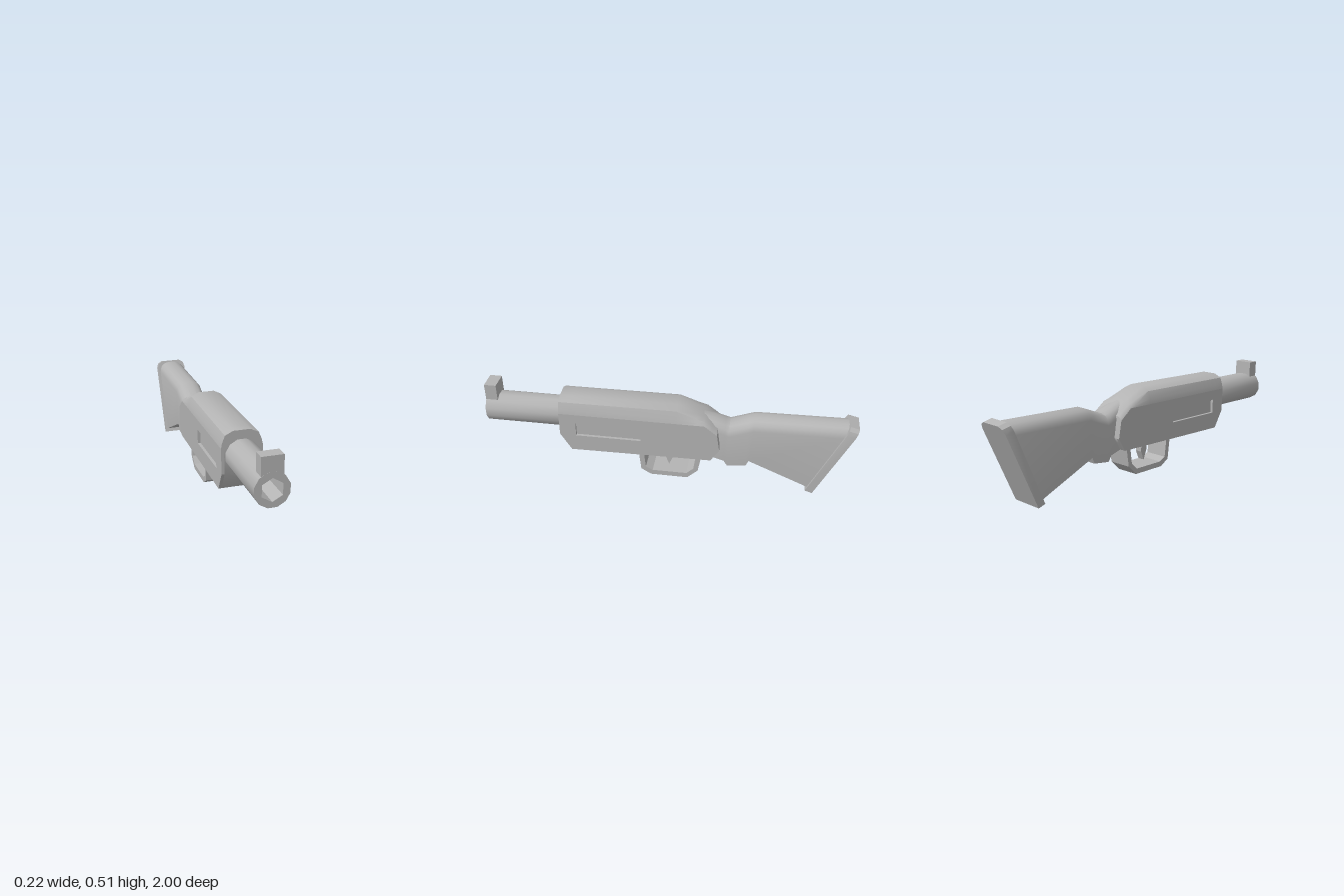
import * as THREE from 'three';
import { toCreasedNormals } from 'three/addons/utils/BufferGeometryUtils.js';

const grey = new THREE.MeshStandardMaterial({ color: 0xb4b4b4 });
grey.name = 'plain grey';

// Skin closed rings (counter-clockwise seen from +z) that run from front to back
function loft(rings, crease = 0.7) {
  const n = rings[0].length;
  const pos = [], idx = [];
  rings.forEach((r) => r.forEach((p) => pos.push(...p)));
  for (let i = 0; i < rings.length - 1; i++) {
    for (let j = 0; j < n; j++) {
      const a = i * n + j, b = i * n + (j + 1) % n;
      idx.push(a, a + n, b + n, a, b + n, b);
    }
  }
  [0, rings.length - 1].forEach((k, end) => {
    const c = pos.length / 3;
    for (let m = 0; m < 3; m++) pos.push(rings[k].reduce((s, p) => s + p[m], 0) / n);
    for (let j = 0; j < n; j++) {
      const a = k * n + j, b = k * n + (j + 1) % n;
      idx.push(...(end ? [c, b, a] : [c, a, b]));
    }
  });
  const g = new THREE.BufferGeometry();
  g.setAttribute('position', new THREE.Float32BufferAttribute(pos, 3));
  g.setIndex(idx);
  return toCreasedNormals(g, crease);
}

// Mirror the right-hand half of a section, listed from bottom to top
const mirrored = (half) => [...half, ...half.slice().reverse().map(([x, y, z]) => [-x, y, z])];

const outline = (pts) => pts.map(([a, b]) => new THREE.Vector2(a, b));

// Extrude a (z, y) side outline across x, centred on x = 0
function sideExtrude(pts, width, hole) {
  const shape = new THREE.Shape(outline(pts));
  if (hole) shape.holes.push(new THREE.Path(outline(hole)));
  const g = new THREE.ExtrudeGeometry(shape, { depth: width, bevelEnabled: false });
  return g.translate(0, 0, -width / 2).rotateY(-Math.PI / 2);
}

const polygon = (n, r, phase) => Array.from({ length: n }, (_, i) => {
  const a = phase + (i / n) * Math.PI * 2;
  return [r * Math.cos(a), r * Math.sin(a)];
});

export function createModel() {
  const body = new THREE.Group();
  body.name = 'body';
  const add = (name, geometry, x = 0, y = 0, z = 0) => {
    const mesh = new THREE.Mesh(geometry, grey);
    mesh.name = name;
    mesh.position.set(x, y, z);
    body.add(mesh);
  };

  // Receiver core with rounded top: z, bottom, shoulder, top
  const core = [
    [0.585, 0.27, 0.4, 0.485], [0.525, 0.172, 0.4, 0.485], [-0.05, 0.176, 0.4, 0.49],
    [-0.16, 0.178, 0.4, 0.437], [-0.2, 0.179, 0.4, 0.42], [-0.24, 0.18, 0.368, 0.395],
    [-0.27, 0.225, 0.345, 0.37], [-0.285, 0.249, 0.251, 0.265],
  ];
  add('receiver', loft(core.map(([z, b, s, t]) => mirrored([
    [0.088, b, z], [0.088, s, z], [0.103, s, z],
    [0.098, s + (t - s) * 0.3, z], [0.083, s + (t - s) * 0.74, z], [0.042, s + (t - s) * 0.97, z],
  ]))));

  // Side plates with a recessed slot
  const plate = [[0.585, 0.4], [-0.2, 0.4], [-0.27, 0.345], [-0.285, 0.25], [-0.24, 0.18], [0.525, 0.172], [0.585, 0.27]];
  const slot = [[0.495, 0.268], [0.495, 0.345], [0.14, 0.345], [0.14, 0.268]];
  for (const side of [1, -1]) add('sidePlate', sideExtrude(plate, 0.015, slot), side * 0.0955);

  // Barrel with an open six-sided bore
  const ring = new THREE.Shape(outline(polygon(12, 0.084, Math.PI / 12)));
  ring.holes.push(new THREE.Path(outline(polygon(6, 0.055, 0.5).reverse())));
  const tube = new THREE.ExtrudeGeometry(ring, { depth: 0.42, bevelEnabled: false });
  add('barrel', toCreasedNormals(tube, 0.7), 0, 0.356, 0.58);
  add('boreEnd', new THREE.CircleGeometry(0.07, 12), 0, 0.356, 0.6);
  add('frontSight', new THREE.BoxGeometry(0.104, 0.09, 0.065), 0.001, 0.467, 0.967);

  // Stock and neck: z at bottom, z at top, bottom, top, half width
  const stock = [
    [-0.14, -0.14, 0.2, 0.437, 0.035], [-0.24, -0.24, 0.18, 0.41, 0.068], [-0.31, -0.31, 0.163, 0.387, 0.073],
    [-0.33, -0.33, 0.133, 0.38, 0.074], [-0.43, -0.43, 0.145, 0.417, 0.075], [-0.445, -0.46, 0.178, 0.428, 0.075],
    [-0.78, -0.95, 0.035, 0.436, 0.076],
  ];
  add('stock', loft(stock.map(([zb, zt, b, t, w]) => mirrored(
    [[1, 0], [1, t - b - 0.055], [0.88, t - b - 0.025], [0.62, t - b - 0.008], [0.25, t - b]]
      .map(([x, h]) => [x * w, b + h, zb + (zt - zb) * h / (t - b)])
  ))));

  // Slanted butt plate with clipped top corners
  const butt = [[-0.762, -0.95, 0.02, 0.444], [-0.802, -0.997, 0.007, 0.432]];
  add('buttPlate', loft(butt.map(([zb, zt, b, t]) => mirrored(
    [[0.087, 0], [0.087, 0.91], [0.078, 0.97], [0.055, 1]]
      .map(([x, h]) => [x, b + h * (t - b), zb + h * (zt - zb)])
  )), 0.4));

  // Trigger guard and trigger
  add('triggerGuard', sideExtrude([
    [0.16, 0.18], [0.146, 0.05], [0.092, 0.017], [-0.112, 0.016], [-0.17, 0.07], [-0.19, 0.182],
    [-0.162, 0.182], [-0.146, 0.082], [-0.108, 0.046], [0.082, 0.046], [0.12, 0.066], [0.132, 0.18],
  ], 0.13));
  add('trigger', sideExtrude([[0.02, 0.18], [0.016, 0.12], [-0.005, 0.066], [-0.026, 0.115], [-0.026, 0.18]], 0.04));

  // The whole body leans by a hair in roll and yaw
  body.position.y = -0.3;
  const pivot = new THREE.Group();
  pivot.name = 'leaningBody';
  pivot.position.y = 0.3;
  pivot.rotation.set(0, -0.0115, 0.027);
  pivot.add(body);
  const model = new THREE.Group();
  model.name = 'model';
  model.add(pivot);
  return model;
}
